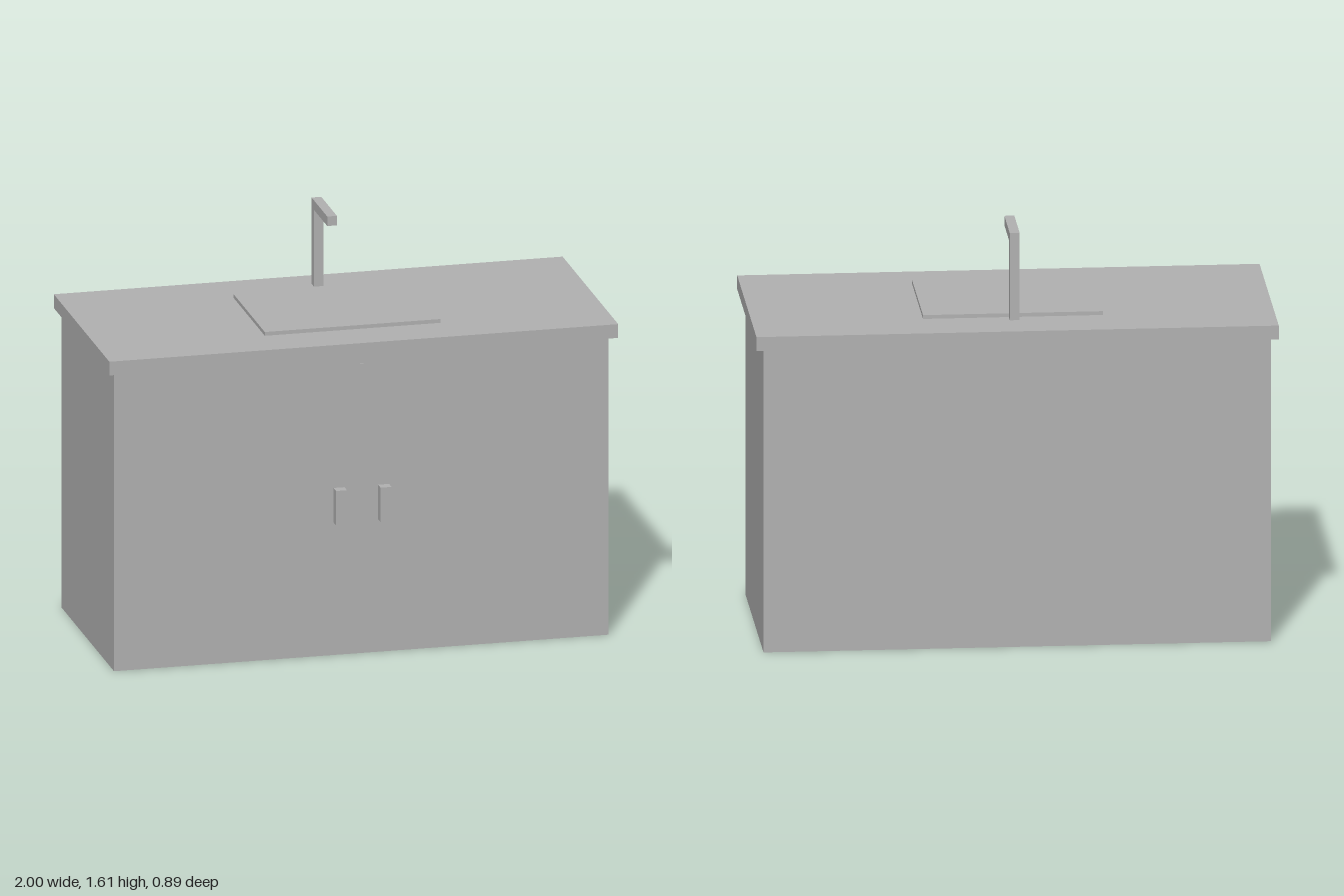
import * as THREE from 'three';

export function createModel() {
  const group = new THREE.Group();
  const grey = new THREE.MeshStandardMaterial({ color: 0xb2b2b2 });
  grey.name = 'grey';

  // Box given by its minimum and maximum on each axis
  const box = (name, [x0, x1], [y0, y1], [z0, z1]) => {
    const mesh = new THREE.Mesh(new THREE.BoxGeometry(x1 - x0, y1 - y0, z1 - z0), grey);
    mesh.position.set((x0 + x1) / 2, (y0 + y1) / 2, (z0 + z1) / 2);
    mesh.name = name;
    group.add(mesh);
  };

  // Cabinet, countertop and raised basin slab
  box('cabinet', [-0.972, 0.972], [0, 1.197], [-0.432, 0.403]);
  box('countertop', [-1, 1], [1.197, 1.252], [-0.443, 0.443]);
  box('basin', [-0.345, 0.345], [1.252, 1.267], [-0.236, 0.264]);

  // Thin strip between the doors, with a handle on each side
  box('doorDivider', [-0.007, 0.007], [0.045, 1.157], [0.403, 0.406]);
  box('rightHandle', [-0.109, -0.066], [0.53, 0.668], [0.403, 0.443]);
  box('leftHandle', [0.066, 0.109], [0.53, 0.668], [0.403, 0.443]);

  // Tap: an L-shaped side profile extruded across x
  const profile = new THREE.Shape([
    [0.312, 1.26], [0.274, 1.26], [0.274, 1.567],
    [0.062, 1.567], [0.062, 1.605], [0.312, 1.605],
  ].map(([back, y]) => new THREE.Vector2(back, y)));
  const tapGeometry = new THREE.ExtrudeGeometry(profile, { depth: 0.038, bevelEnabled: false });
  tapGeometry.translate(0, 0, -0.019).rotateY(Math.PI / 2);
  const tap = new THREE.Mesh(tapGeometry, grey);
  tap.name = 'tap';
  group.add(tap);

  return group;
}
